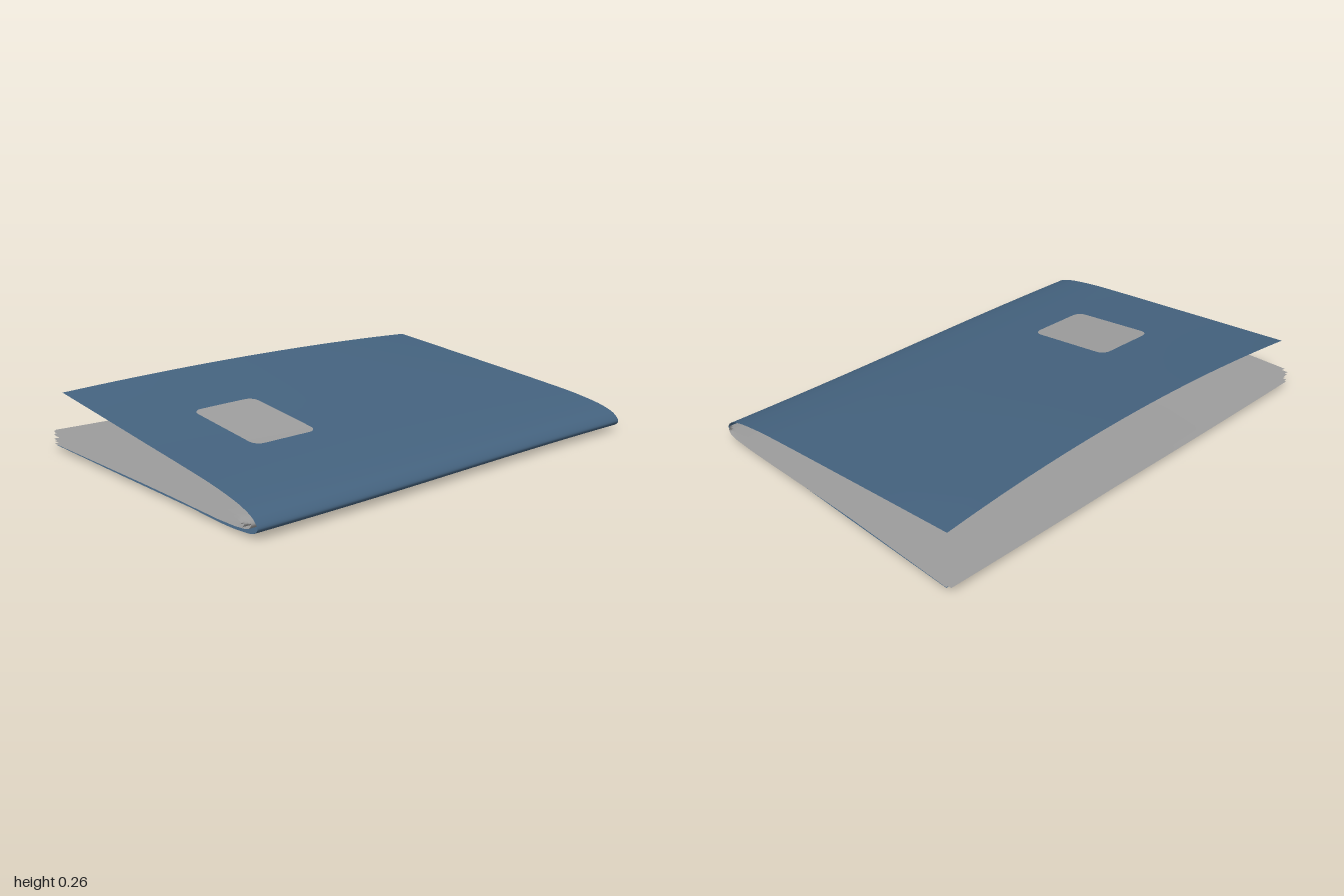
import * as THREE from 'three';

const coverMat = new THREE.MeshStandardMaterial({ color: 0x44627e, side: THREE.DoubleSide });
coverMat.name = 'blue cover';
const paperMat = new THREE.MeshStandardMaterial({ color: 0x9c9c9c, side: THREE.DoubleSide });
paperMat.name = 'grey paper';

// Sheet whose vertices follow place(s, t, target), s in -1..1 across, t in 0..1 along
function sheet(name, mat, nx, nt, place) {
  const geo = new THREE.PlaneGeometry(2, 1, nx, nt);
  const pos = geo.attributes.position;
  const p = new THREE.Vector3();
  for (let i = 0; i < pos.count; i++) {
    place(pos.getX(i), 0.5 - pos.getY(i), p);
    pos.setXYZ(i, p.x, p.y, p.z);
  }
  geo.computeVertexNormals();
  const mesh = new THREE.Mesh(geo, mat);
  mesh.name = name;
  return mesh;
}

// Smooth curve in the side plane through [z, y] points
const profile = (pts) => new THREE.CatmullRomCurve3(
  pts.map(([z, y]) => new THREE.Vector3(0, y, z)), false, 'centripetal');

const clamp = THREE.MathUtils.clamp;
const topBow = (x, z) => 0.03 * (1 - x * x) * clamp((0.5 - z) / 1.16, 0, 1);

export function createModel() {
  const group = new THREE.Group();
  group.name = 'booklet';

  // Cover: one sheet folded around the spine, its front lifted open
  const coverCurve = profile([
    [-0.665, 0.235], [-0.3, 0.2007], [0, 0.172], [0.25, 0.148], [0.45, 0.126],
    [0.6, 0.098], [0.66, 0.073], [0.682, 0.045], [0.665, 0.026], [0.6, 0.014],
    [0.48, 0.004], [0, 0.002], [-0.67, 0.005],
  ]);
  const spineAt = 7 / 12;
  group.add(sheet('cover', coverMat, 24, 60, (s, t, p) => {
    coverCurve.getPoint(t, p);
    const z = p.z, back = clamp((0.68 - z) / 1.34, 0, 1);
    if (t < spineAt) {
      p.x = s * (0.975 - (s < 0 ? 0.03 : 0.01) * back);
      p.y += topBow(s, z);
      p.z += 0.03 * (1 - s * s) * back * back;
    } else {
      p.x = s * (0.975 + 0.007 * back);
      p.y += 0.014 * s * s * clamp((0.62 - z) / 0.3, 0, 1);
    }
    // slightly wavy spine
    p.z -= 0.011 * Math.sin(2.2 * s) * Math.max(0, z) / 0.68;
  }));

  // Label: rounded plate lying on the front cover
  const cx = -0.495, cz = 0.028, hx = 0.147, hz = 0.207, r = 0.04;
  group.add(sheet('label', paperMat, 8, 28, (s, t, p) => {
    const dz = hz * Math.sin((t - 0.5) * Math.PI);
    const over = Math.max(0, Math.abs(dz) - (hz - r));
    const w = hx - r + Math.sqrt(Math.max(0, r * r - over * over));
    const x = cx + s * w, z = cz + dz;
    p.set(x, 0.172 - 0.0955 * z + topBow(x, z) + 0.004, z);
  }));

  // Pages: nested folded sheets, each a little askew
  const pages = new THREE.Group();
  pages.name = 'pages';
  const count = 7, mid = 0.043;
  for (let i = 0; i < count; i++) {
    const h = 0.025 - 0.0034 * i;
    const fold = 0.65 - 0.003 * i;
    const yaw = 0.011 * Math.cos(i * 2.3);
    const back = -0.68 - 0.006 * Math.sin(i * 1.7);
    const curve = profile([
      [back, mid + h + 0.003], [0, mid + h], [fold - 0.05, mid + h], [fold - 0.01, mid + 0.6 * h],
      [fold, mid], [fold - 0.01, mid - 0.6 * h], [fold - 0.05, mid - h], [0, mid - h], [back, mid - h],
    ]);
    pages.add(sheet('foldedPage' + (i + 1), paperMat, 12, 32, (s, t, p) => {
      curve.getPoint(t, p);
      const x = s * 0.985, z = p.z;
      p.set(x + z * yaw, p.y + 0.01 * s * s, z - x * yaw);
    }));
  }
  group.add(pages);
  return group;
}
